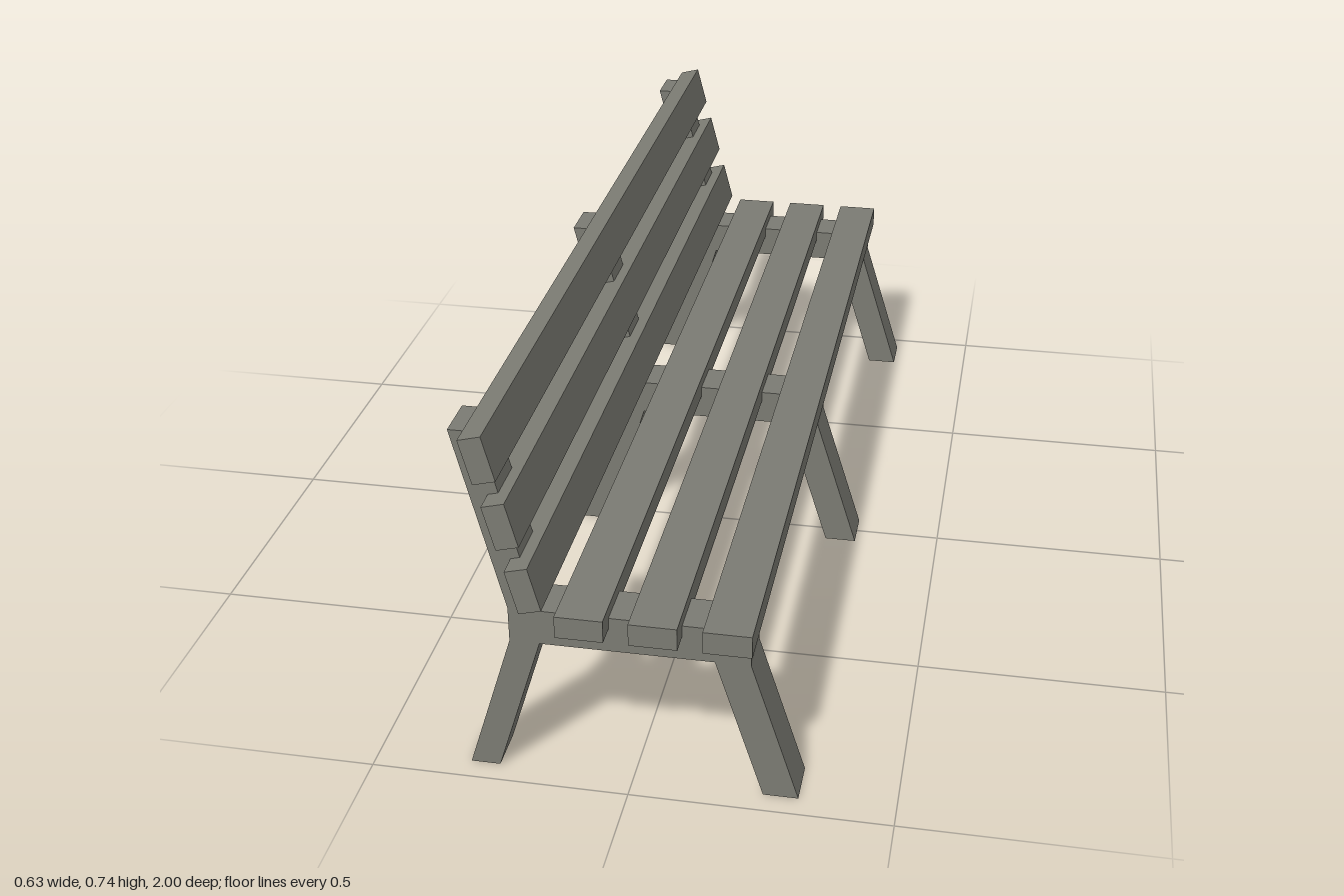
import * as THREE from 'three';

export function createModel() {
  const bench = new THREE.Group();
  bench.name = 'bench';
  const grey = new THREE.MeshStandardMaterial({ color: 0x7b7b73 });
  grey.name = 'weathered grey';

  const add = (geometry, name, x, y, z, tilt = 0) => {
    const mesh = new THREE.Mesh(geometry, grey);
    mesh.name = name;
    mesh.position.set(x, y, z);
    mesh.rotation.z = tilt;
    bench.add(mesh);
  };

  // Side profile of a support: splayed legs, seat rail and leaning back post
  const profile = new THREE.Shape([
    [-0.317, 0], [-0.26, 0], [-0.17, 0.291], [0.158, 0.291],
    [0.249, 0], [0.316, 0], [0.225, 0.291], [0.225, 0.363],
    [-0.17, 0.363], [-0.261, 0.727], [-0.317, 0.727],
    [-0.227, 0.363], [-0.227, 0.291],
  ].map(([x, y]) => new THREE.Vector2(x, y)));
  const thickness = 0.09;
  const support = new THREE.ExtrudeGeometry(profile, { depth: thickness, bevelEnabled: false });
  support.translate(0, 0, -thickness / 2);
  for (const z of [-0.91, 0, 0.91]) add(support, 'supportFrame', 0, 0, z);

  // Seat slats, lying flat and let into the rails
  const seatSlat = new THREE.BoxGeometry(0.09, 0.045, 2);
  for (const x of [-0.083, 0.053, 0.189]) add(seatSlat, 'seatSlat', x, 0.363, 0);

  // Back slats, tilted along the back posts
  const backSlat = new THREE.BoxGeometry(0.044, 0.09, 2);
  for (let i = 0; i < 3; i++) {
    add(backSlat, 'backSlat', -0.183 - i * 0.035, 0.433 + i * 0.131, 0, THREE.MathUtils.degToRad(14.5));
  }
  return bench;
}
